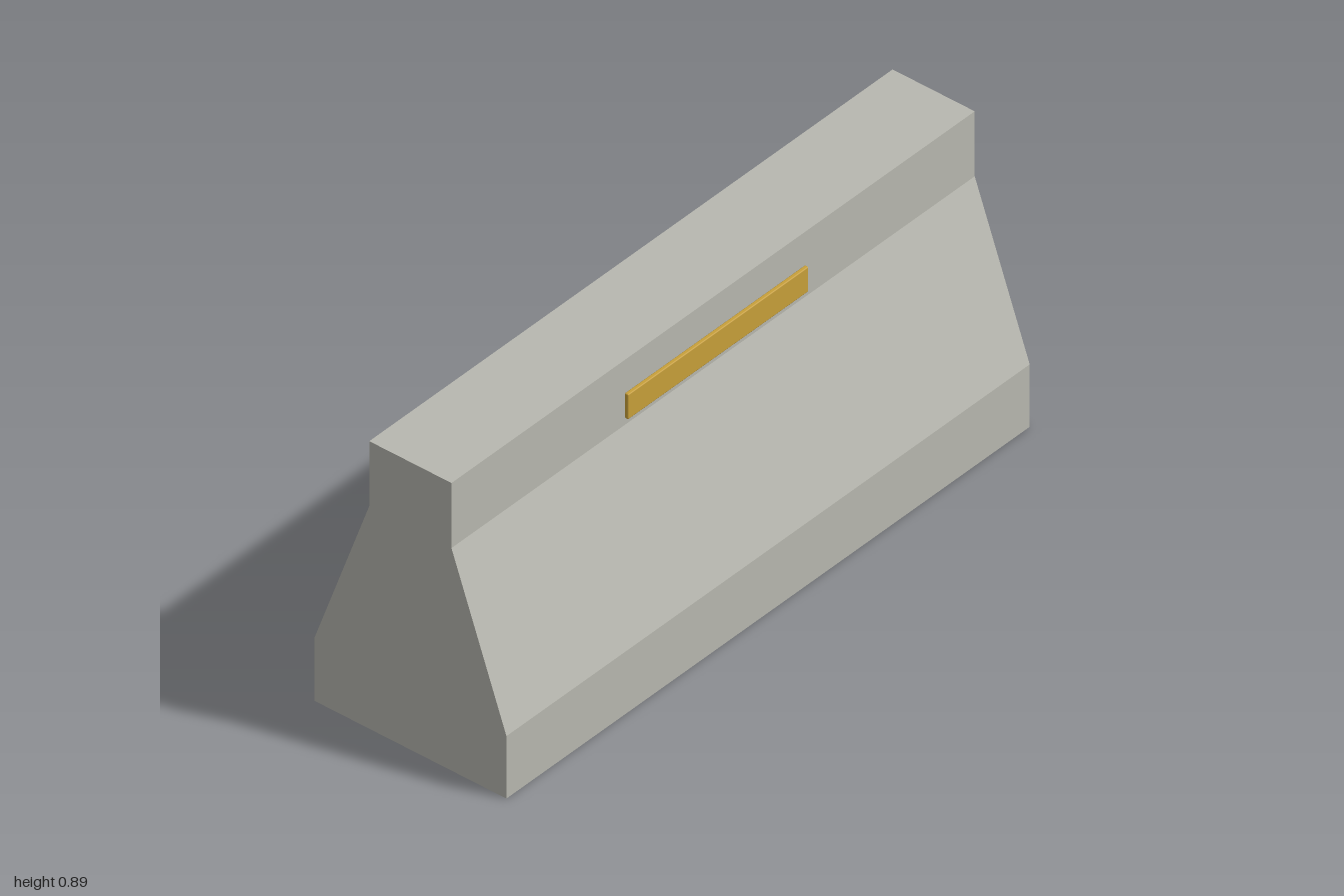
import * as THREE from 'three';
import { RoundedBoxGeometry } from 'three/addons/geometries/RoundedBoxGeometry.js';

export function createModel() {
  const model = new THREE.Group();
  model.name = 'roadBarrier';

  const concrete = new THREE.MeshStandardMaterial({ color: 0xb8b8b0 });
  concrete.name = 'concrete';
  const amber = new THREE.MeshStandardMaterial({ color: 0xc8a03a });
  amber.name = 'amber';

  // Concrete body: half profile (half depth, height), mirrored and extruded along x
  const half = [[0.311, 0], [0.311, 0.193], [0.133, 0.688], [0.133, 0.889]];
  const outline = [...half, ...half.map(([z, y]) => [-z, y]).reverse()];
  const profile = new THREE.Shape(outline.map(([z, y]) => new THREE.Vector2(z, y)));
  const bodyGeometry = new THREE.ExtrudeGeometry(profile, { depth: 2, bevelEnabled: false });
  bodyGeometry.translate(0, 0, -1).rotateY(-Math.PI / 2);
  const body = new THREE.Mesh(bodyGeometry, concrete);
  body.name = 'barrierBody';
  model.add(body);

  // Reflector strip standing just off the upper front face
  const strip = new THREE.Mesh(new RoundedBoxGeometry(0.69, 0.077, 0.012, 1, 0.003), amber);
  strip.name = 'reflectorStrip';
  strip.position.set(-0.002, 0.757, 0.146);
  model.add(strip);

  return model;
}
